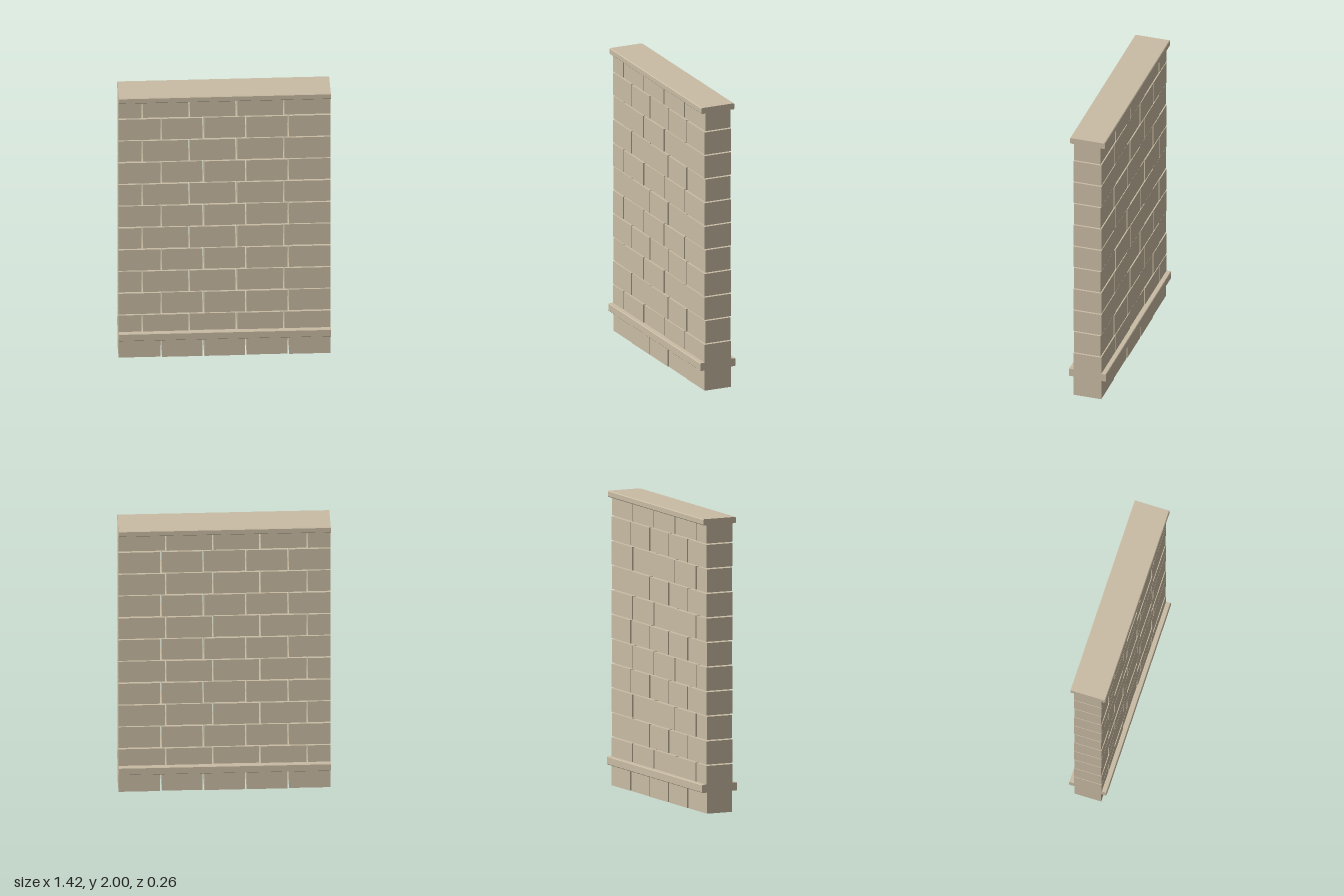
import * as THREE from 'three';

const WIDTH = 1.424, ROWS = 12, COLS = 5, DEPTH = 0.196, JOINT = 0.011;

export function createModel() {
  const wall = new THREE.Group();
  wall.name = 'blockWall';
  const stone = new THREE.MeshStandardMaterial({ color: 0xc9bca4 });
  stone.name = 'sandstone';

  // Courses of blocks; every second course starts with a half block
  const pitch = 2 / ROWS;
  for (let row = 0; row < ROWS; row++) {
    const course = new THREE.Group();
    course.name = `course${row + 1}`;
    const staggered = row % 2 === 1;
    const unit = WIDTH / (staggered ? COLS - 0.5 : COLS);
    const bottom = row * pitch;
    const top = row === ROWS - 1 ? 1.97 : bottom + pitch - 0.009;
    let left = -WIDTH / 2;
    for (let col = 0; col < COLS; col++) {
      const right = left + (staggered && col === 0 ? unit / 2 : unit);
      const x0 = left + (col > 0 ? JOINT / 2 : 0);
      const x1 = right - (col < COLS - 1 ? JOINT / 2 : 0);
      // Every third block sits slightly back on both faces
      const depth = DEPTH - ((row + col) % 3 === 0 ? 0.008 : 0);
      const block = new THREE.Mesh(new THREE.BoxGeometry(x1 - x0, top - bottom, depth), stone);
      block.position.set((x0 + x1) / 2, (bottom + top) / 2, 0);
      block.name = 'block';
      course.add(block);
      left = right;
    }
    wall.add(course);
  }

  // Slab with chamfered long edges, running the full width
  function addSlab(name, y0, y1, halfDepth, c) {
    const h = halfDepth;
    const section = new THREE.Shape([
      [-h + c, y0], [h - c, y0], [h, y0 + c], [h, y1 - c],
      [h - c, y1], [-h + c, y1], [-h, y1 - c], [-h, y0 + c],
    ].map(([x, y]) => new THREE.Vector2(x, y)));
    const geometry = new THREE.ExtrudeGeometry(section, { depth: WIDTH, bevelEnabled: false });
    geometry.translate(0, 0, -WIDTH / 2).rotateY(Math.PI / 2);
    const slab = new THREE.Mesh(geometry, stone);
    slab.name = name;
    wall.add(slab);
  }
  addSlab('baseBand', 0.143, 0.198, 0.131, 0.004);
  addSlab('capSlab', 1.958, 2, 0.123, 0.005);

  return wall;
}
